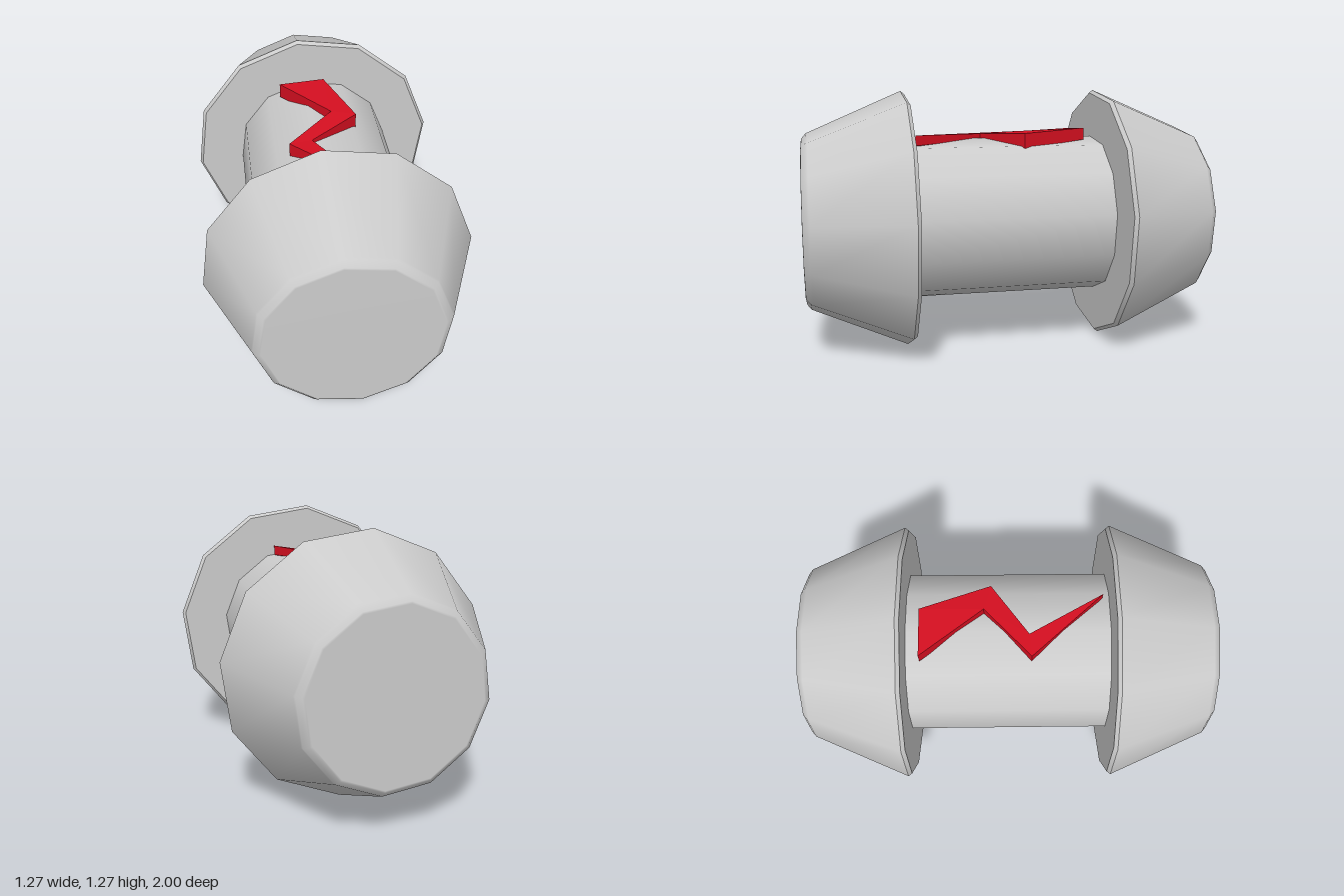
import * as THREE from 'three';
import { mergeGeometries } from 'three/addons/utils/BufferGeometryUtils.js';

const SIDES = 12;
const TWIST = 0.122; // roll of the twelve-sided section about the long axis
const CENTRE_Y = 0.642;

// Turned piece along z; each profile is [radius, distance] and stays sharp against the next
function turned(profiles, direction) {
  const parts = profiles.map((profile) =>
    new THREE.LatheGeometry(profile.map(([r, d]) => new THREE.Vector2(r, d)), SIDES));
  const geometry = mergeGeometries(parts);
  geometry.rotateX(direction * Math.PI / 2);
  geometry.rotateZ(TWIST);
  geometry.translate(0, CENTRE_Y, 0);
  return geometry;
}

// Bolt outline: [x, z, bottom, top]
const BOLT = [
  [-0.18, -0.42, 1.00, 1.075],
  [0.05, -0.42, 1.03, 1.09],
  [0.17, -0.08, 1.00, 1.075],
  [-0.07, 0.10, 1.03, 1.06],
  [0.125, 0.455, 1.02, 1.07],
  [-0.18, 0.11, 0.98, 1.055],
  [0.05, -0.115, 1.01, 1.08],
];

function boltGeometry() {
  const shape = new THREE.Shape(BOLT.map(([x, z]) => new THREE.Vector2(x, -z)));
  const geometry = new THREE.ExtrudeGeometry(shape, { depth: 1, bevelEnabled: false });
  geometry.rotateX(-Math.PI / 2);
  // Set each corner to its own bottom and top height
  const pos = geometry.attributes.position;
  for (let i = 0; i < pos.count; i++) {
    const corner = BOLT.find(([x, z]) => Math.hypot(x - pos.getX(i), z - pos.getZ(i)) < 0.001);
    pos.setY(i, pos.getY(i) < 0.5 ? corner[2] : corner[3]);
  }
  geometry.computeVertexNormals();
  return geometry;
}

export function createModel() {
  const model = new THREE.Group();
  const grey = new THREE.MeshStandardMaterial({ color: 0xcccccc });
  const red = new THREE.MeshStandardMaterial({ color: 0xd40f20 });

  const add = (name, geometry, material) => {
    const mesh = new THREE.Mesh(geometry, material);
    mesh.name = name;
    model.add(mesh);
  };

  // Central grip
  add('grip', turned([[[0.4, -0.5], [0.4, 0.5]]], 1), grey);

  // Tapered end weights: inner face, lip, then cone with softened rim and flat end
  const weight = [
    [[0, 0.488], [0.628, 0.488]],
    [[0.628, 0.488], [0.642, 0.506]],
    [[0.642, 0.506], [0.442, 0.966], [0.437, 0.977], [0.412, 0.998], [0.402, 1], [0, 1]],
  ];
  add('frontWeight', turned(weight, 1), grey);
  add('backWeight', turned(weight, -1), grey);

  // Zigzag bolt on top of the grip
  add('zigzagBolt', boltGeometry(), red);

  return model;
}
